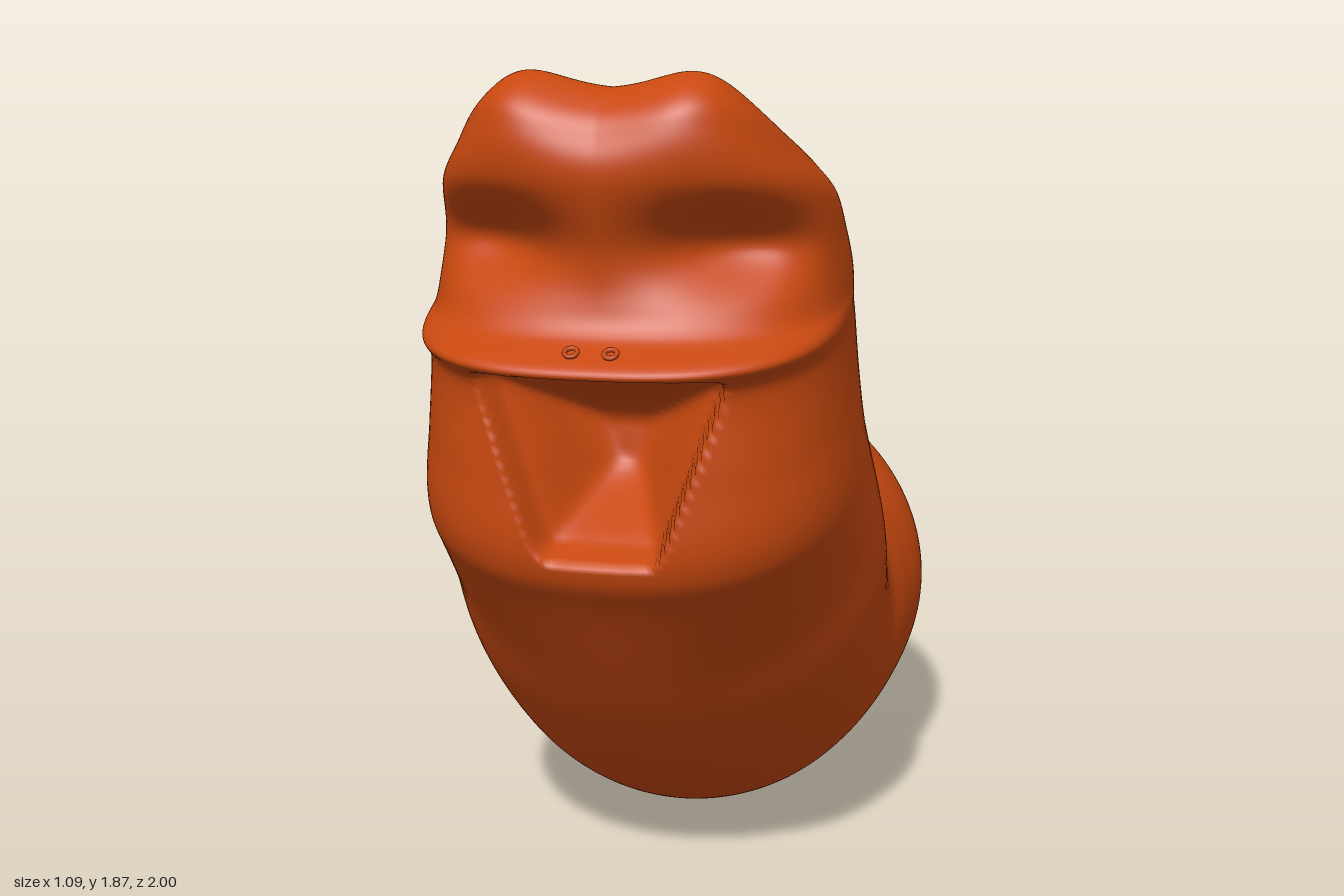
import * as THREE from 'three';
import { mergeVertices } from 'three/addons/utils/BufferGeometryUtils.js';

// Cross-sections from tail to crown: [outer z, outer y, inner z, inner y, half width]
const SECTIONS = [
  [-1, .53, -1, .53, 0],
  [-.985, .41, -.985, .65, .13],
  [-.94, .29, -.94, .76, .24],
  [-.87, .18, -.87, .85, .33],
  [-.76, .08, -.76, .92, .42],
  [-.6, .005, -.6, .97, .505],
  [-.36, 0, -.4, .99, .545],
  [-.1, 0, -.25, .975, .53],
  [.1, .03, -.17, .99, .505],
  [.32, .15, -.11, 1.04, .505],
  [.58, .39, -.08, 1.11, .51],
  [.85, .75, -.07, 1.2, .485],
  [.935, .88, -.07, 1.24, .475],
  [.94, 1.06, -.07, 1.32, .46],
  [.935, 1.24, -.055, 1.4, .45],
  [.995, 1.3, -.045, 1.43, .45],
  [.9, 1.355, -.035, 1.455, .445],
  [.87, 1.42, -.025, 1.48, .44],
  [.875, 1.51, -.01, 1.51, .43],
  [.92, 1.67, .02, 1.55, .41],
  [.9, 1.75, .06, 1.585, .37],
  [.86, 1.8, .1, 1.61, .33],
  [.78, 1.835, .17, 1.64, .27],
  [.65, 1.82, .29, 1.69, .16],
  [.47, 1.765, .47, 1.765, 0],
];

const { smoothstep } = THREE.MathUtils;
const bell = (v, centre, spread) => Math.exp(-(((v - centre) / spread) ** 2));

// Distance inside the rounded trapezoid of the mouth (negative outside)
function mouthInside(x, y) {
  const k = 0.012;
  const halfWidth = 0.125 + 0.14 * (y - 0.9) / 0.385;
  const edges = [1.288 - y, y - 0.898, (halfWidth - Math.abs(x)) * 0.94];
  return -k * Math.log(edges.reduce((sum, d) => sum + Math.exp(-d / k), 0));
}

// Sculpt the mouth, eye hollows and brows into the front of the head
function sculpt(p) {
  const { x, y, z } = p;
  if (z < 0.3 || y < 0.8) return;
  const ax = Math.abs(x);
  const front = smoothstep(z, 0.45, 0.75);
  const d = mouthInside(x, y);
  if (d > 0) {
    p.z -= front * (0.05 * smoothstep(d, 0, 0.015) + 0.25 * smoothstep(d, -0.02, 0.16));
  }
  p.z -= front * 0.12 * bell(ax, 0.25, 0.15) * bell(y, 1.53, 0.085);
  p.z += front * 0.02 * bell(ax, 0.2, 0.12) * bell(y, 1.76, 0.06);
  p.y += 0.055 * bell(ax, 0.2, 0.12) * bell(z, 0.8, 0.16) * smoothstep(y, 1.65, 1.76);
}

function bodyGeometry() {
  const smooth = (pick) => new THREE.CatmullRomCurve3(
    SECTIONS.map((s) => new THREE.Vector3(...pick(s))), false, 'catmullrom', 0.5);
  const outer = smooth((s) => [0, s[1], s[0]]);
  const inner = smooth((s) => [s[4], s[3], s[2]]);
  const rows = (SECTIONS.length - 1) * 14, cols = 180;
  const positions = [], index = [];
  for (let i = 0; i <= rows; i++) {
    const a = outer.getPoint(i / rows), b = inner.getPoint(i / rows);
    const width = Math.max(b.x, 0);
    b.x = 0;
    const mid = a.clone().add(b).multiplyScalar(0.5);
    const half = a.clone().sub(b).multiplyScalar(0.5);
    // the chest and face are squarer than the rest
    const squareness = 2 + 0.7 * smoothstep(a.y, 0.5, 1);
    for (let j = 0; j < cols; j++) {
      // points gather toward the face
      const t = (j / cols) * Math.PI * 2, angle = t - 0.45 * Math.sin(t);
      const c = Math.cos(angle), s = Math.sin(angle);
      const n = c > 0 ? squareness : 2;
      const r = (Math.abs(c) ** n + Math.abs(s) ** n) ** (-1 / n);
      const p = mid.clone().addScaledVector(half, c * r);
      p.x = width * s * r;
      sculpt(p);
      positions.push(p.x, p.y, p.z);
      if (i < rows) {
        const k = i * cols + j, next = i * cols + (j + 1) % cols;
        index.push(k, next, k + cols, next, next + cols, k + cols);
      }
    }
  }
  const grid = new THREE.BufferGeometry();
  grid.setAttribute('position', new THREE.Float32BufferAttribute(positions, 3));
  grid.setIndex(index);
  const geometry = mergeVertices(grid, 1e-5);
  geometry.computeVertexNormals();
  return geometry;
}

export function createModel() {
  const group = new THREE.Group();
  group.name = 'creature';
  const skin = new THREE.MeshStandardMaterial({ color: 0xc8480f });
  skin.name = 'burnt orange';

  // Tail, torso and head in one smooth skin
  const body = new THREE.Mesh(bodyGeometry(), skin);
  body.name = 'body';
  group.add(body);

  // Nostril rims on top of the lip
  for (const side of [-1, 1]) {
    const nostril = new THREE.Mesh(new THREE.TorusGeometry(0.013, 0.005, 8, 20), skin);
    nostril.name = side > 0 ? 'leftNostril' : 'rightNostril';
    nostril.position.set(side * 0.04, 1.337, 0.95);
    nostril.rotation.x = -1.05;
    group.add(nostril);
  }
  return group;
}
